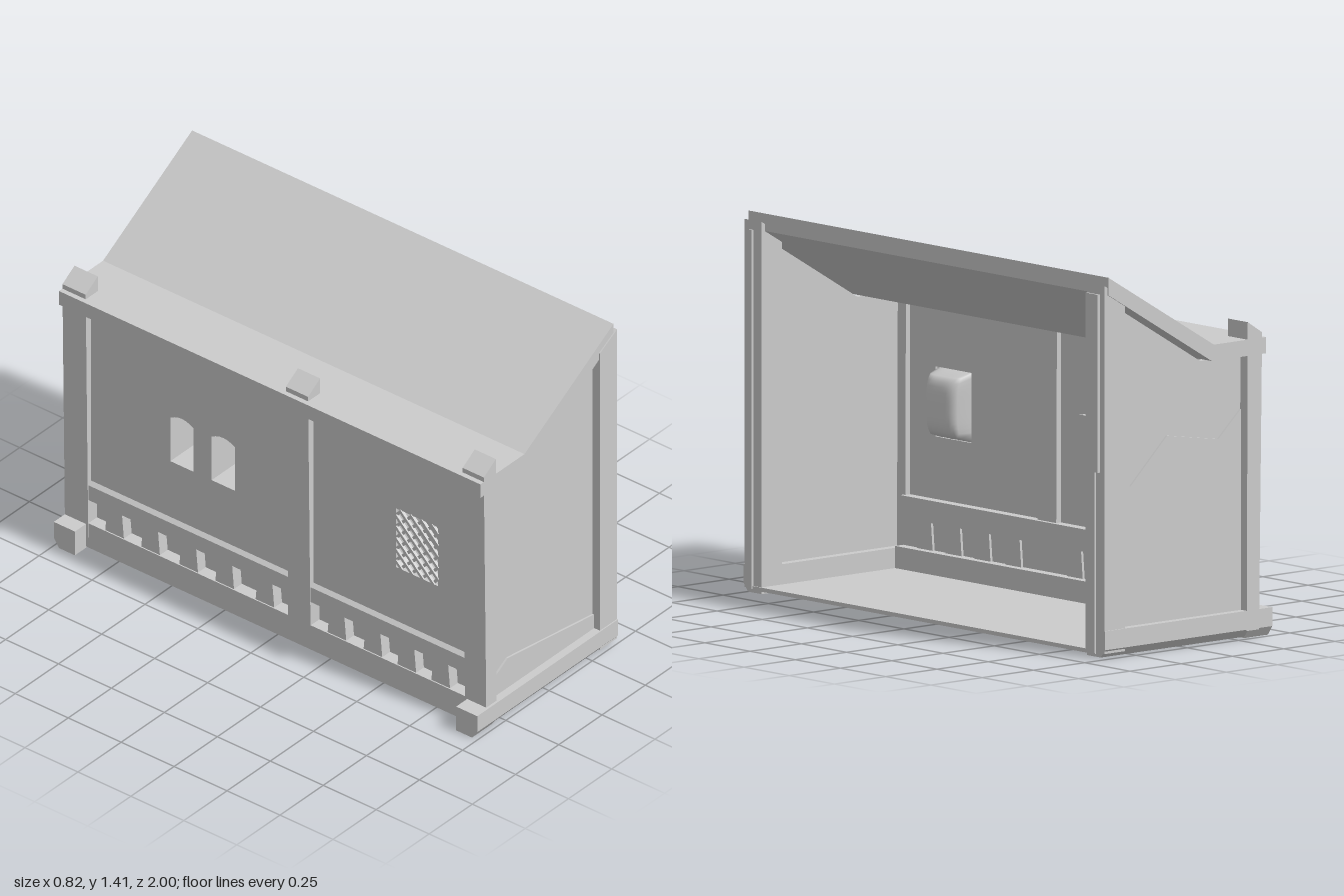
import * as THREE from 'three';

export function createModel() {
  const model = new THREE.Group();
  const mat = new THREE.MeshStandardMaterial({ color: 0xcccccc, flatShading: true, side: THREE.DoubleSide });

  const add = (name, geo) => {
    const mesh = new THREE.Mesh(geo, mat);
    mesh.name = name;
    model.add(mesh);
    return mesh;
  };
  // box given by its limits on each axis
  const box = (name, x0, x1, y0, y1, z0, z1) =>
    add(name, new THREE.BoxGeometry(x1 - x0, y1 - y0, Math.abs(z1 - z0))
      .translate((x0 + x1) / 2, (y0 + y1) / 2, (z0 + z1) / 2));
  const shapeOf = (pts) => new THREE.Shape(pts.map(([a, b]) => new THREE.Vector2(a, b)));
  // (x, y) outline drawn along z
  const prismZ = (name, pts, z0, z1) =>
    add(name, new THREE.ExtrudeGeometry(shapeOf(pts), { depth: Math.abs(z1 - z0), bevelEnabled: false })
      .translate(0, 0, Math.min(z0, z1)));
  // (z, y) outline drawn along x
  const prismX = (name, pts, x0, x1, holes = []) => {
    const shape = shapeOf(pts);
    holes.forEach((h) => shape.holes.push(shapeOf(h)));
    return add(name, new THREE.ExtrudeGeometry(shape, { depth: x1 - x0, bevelEnabled: false })
      .rotateY(-Math.PI / 2).translate(x1, 0, 0));
  };
  const rect = (a0, a1, b0, b1) => [[a0, b0], [a1, b0], [a1, b1], [a0, b1]];
  const arch = (c, w, y0, y1) => {
    const pts = [[c - w, y0], [c + w, y0]];
    for (let i = 0; i <= 6; i++) {
      const t = 1 - i / 3;
      pts.push([c + w * t, y1 - 0.018 * t * t]);
    }
    return pts;
  };

  // roof: short level part, then a long rise
  prismZ('roof', [[-0.385, 1.05], [-0.12, 1.05], [0.385, 1.35], [0.385, 1.415], [-0.13, 1.11], [-0.385, 1.11]], -1, 0.99);

  // floor
  box('floor', -0.33, 0.405, 0.015, 0.03, -0.95, 0.95);

  // back posts, with slanted heads standing through the roof
  for (const [z0, z1] of [[-1, -0.89], [0.055, 0.16], [0.89, 0.99]]) {
    prismZ('backPost', [[-0.35, 0.03], [-0.29, 0.03], [-0.295, 1.175], [-0.365, 1.13]], z0, z1);
  }

  // end frames and panels
  const lowerEdge = {
    '1': [[0.3, 0.165], [-0.2, 0.235], [-0.29, 0.18]],
    '-1': [[0.3, 0.66], [0.25, 0.62], [0.07, 0.79], [-0.18, 0.75], [-0.29, 0.85]],
  };
  for (const s of [1, -1]) {
    prismZ('openSidePost', [[0.3, 0.02], [0.4, 0.02], [0.4, 1.385], [0.3, 1.33]], s * 0.9, s * 0.995);
    prismX('endSill', [[s * 0.9, 0.005], [s * 0.975, 0.005], [s, 0.035], [s, 0.105], [s * 0.9, 0.105]], -0.3, 0.4);
    prismX('sillFoot', [[s * 0.9, 0], [s * 0.975, 0], [s, 0.035], [s, 0.105], [s * 0.9, 0.105]], -0.415, -0.3);
    prismZ('endPanel', [[-0.31, 0.09], [0.32, 0.09], [0.32, 1.297], [-0.1, 1.047], [-0.31, 1.06]], s * 0.935, s * 0.96);
    prismZ('brokenPlaster', [[-0.29, 0.1], [0.3, 0.1], ...lowerEdge[s]], s * 0.96, s * 0.968);
  }
  box('coverPlank', 0.4, 0.41, 0.02, 1.35, 0.945, 0.965);
  box('coverPlank', 0.4, 0.41, 0.69, 1.35, -0.97, -0.95);
  box('coverPlank', 0.4, 0.408, 0.02, 1.35, -0.95, -0.9);

  // back wall with its window openings
  const arches = [-0.265, -0.46];
  const latticeZ = 0.65, latticeY = 0.66, halfW = 0.1, halfH = 0.13;
  const latticeHole = rect(latticeZ - halfW, latticeZ + halfW, latticeY - halfH, latticeY + halfH);
  prismX('backWall', rect(-0.95, 0.95, 0.28, 1.06), -0.335, -0.315,
    [...arches.map((c) => arch(c, 0.055, 0.54, 0.75)), latticeHole]);

  // arched alcoves reaching into the room
  for (const c of arches) {
    prismX('alcoveWalls', arch(c, 0.061, 0.534, 0.756), -0.33, -0.14, [arch(c, 0.055, 0.54, 0.75)]);
    prismX('alcoveBack', arch(c, 0.061, 0.534, 0.756), -0.146, -0.138);
  }

  // lattice window with a rounded hood behind it
  const bulge = new THREE.PlaneGeometry(halfW * 2, halfH * 2, 14, 14);
  const p = bulge.attributes.position;
  for (let i = 0; i < p.count; i++) {
    const u = p.getX(i) / halfW, v = p.getY(i) / halfH;
    p.setZ(i, 0.09 * Math.pow(Math.max(0, (1 - u ** 4) * (1 - v ** 4)), 0.4));
  }
  bulge.rotateY(Math.PI / 2).translate(-0.325, latticeY, latticeZ);
  bulge.computeVertexNormals();
  add('latticeHood', bulge).material =
    new THREE.MeshStandardMaterial({ color: 0xcccccc, side: THREE.DoubleSide });
  for (const s of [1, -1]) {
    for (let c = -0.2; c < 0.21; c += 0.05) {
      const u0 = Math.max(-halfW, -halfH - c), u1 = Math.min(halfW, halfH - c);
      if (u1 - u0 < 0.01) continue;
      const mid = (u0 + u1) / 2;
      const bar = add('latticeBar', new THREE.BoxGeometry(0.012, 0.012, (u1 - u0) * Math.SQRT2));
      bar.rotation.x = -s * Math.PI / 4;
      bar.position.set(-0.33 + s * 0.003, latticeY + mid + c, latticeZ + s * mid);
    }
  }

  // long beams of the back wall
  box('backPlinth', -0.35, -0.25, 0.005, 0.112, -0.9, 0.9);
  prismZ('backRail', [[-0.35, 0.215], [-0.275, 0.215], [-0.275, 0.298], [-0.33, 0.298], [-0.35, 0.28]], -0.9, 0.9);
  box('topPlate', -0.355, -0.3, 1.04, 1.07, -0.9, 0.9);

  // short struts between plinth and rail
  box('strutBacking', -0.3, -0.29, 0.1, 0.23, -0.9, 0.9);
  for (const c of [0.77, 0.61, 0.45, 0.28, -0.06, -0.25, -0.42, -0.6, -0.77]) {
    prismX('strut', [[c - 0.045, 0.1], [c + 0.045, 0.1], [c + 0.034, 0.225], [c - 0.034, 0.225]], -0.345, -0.28);
  }
  return model;
}
